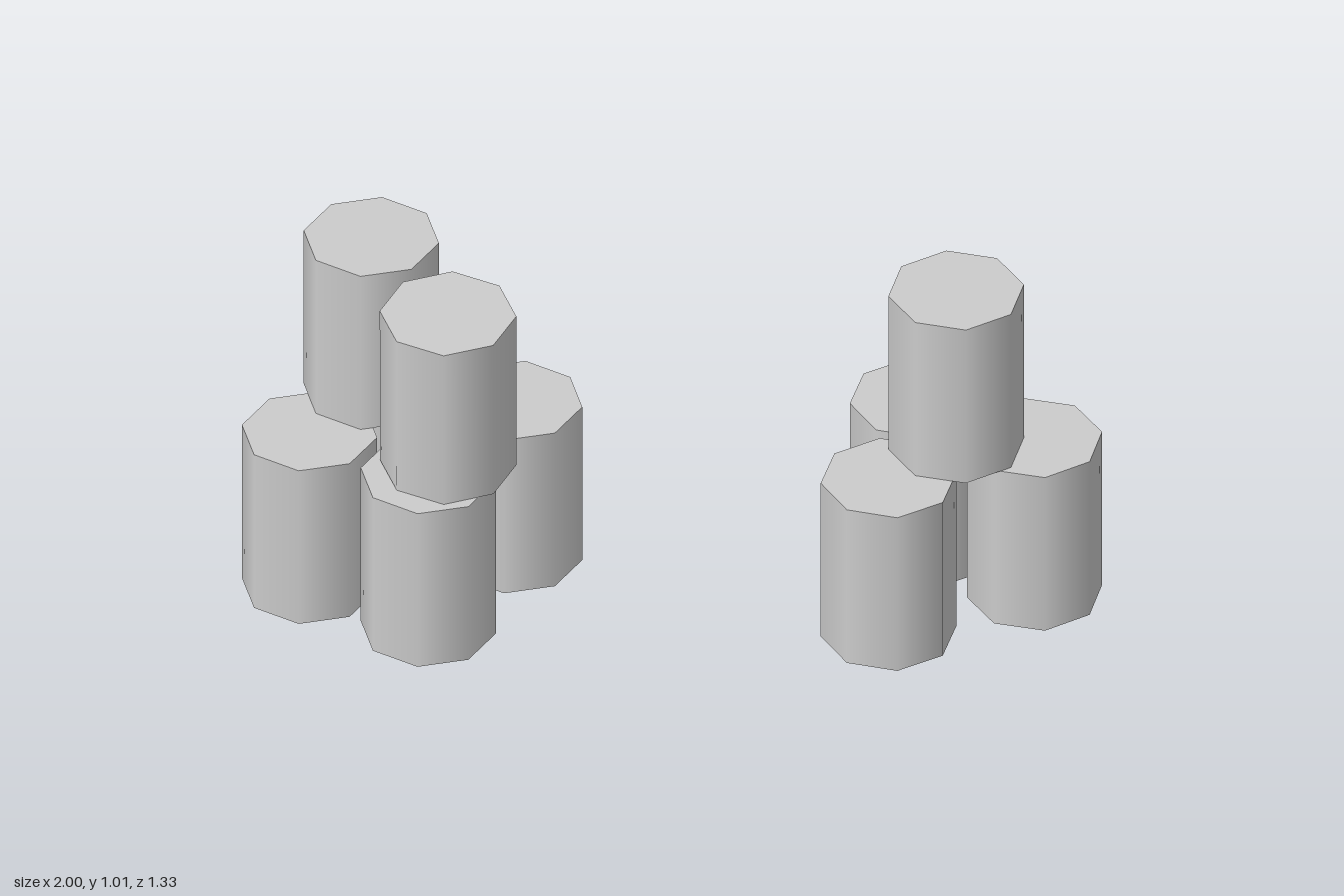
import * as THREE from 'three';

const RADIUS = 0.181;
const HEIGHT = 0.5;
const FLAT = Math.PI / 8; // turns a flat side of the octagon to face the axes

export function createModel() {
  const model = new THREE.Group();
  model.name = 'barrelStacks';
  const material = new THREE.MeshStandardMaterial({ color: 0xcccccc });
  const barrelGeometry = new THREE.CylinderGeometry(RADIUS, RADIUS, HEIGHT, 8);

  function addBarrel(parent, name, x, y, z, turn, tiltX = 0, tiltZ = 0) {
    const barrel = new THREE.Mesh(barrelGeometry, material);
    barrel.name = name;
    barrel.position.set(x, y, z);
    barrel.rotation.set(tiltX, turn, tiltZ, 'XZY'); // turn first, then lean
    parent.add(barrel);
  }

  // Stack of six: four barrels on the ground, two on top
  const largeStack = new THREE.Group();
  largeStack.name = 'largeStack';
  const largeBase = [[-0.797, 0.1], [-0.443, 0.09], [-0.833, 0.492], [-0.464, 0.492]];
  largeBase.forEach(([x, z], i) => addBarrel(largeStack, `lowerBarrel${i + 1}`, x, 0.25, z, FLAT));
  addBarrel(largeStack, 'upperBarrel', -0.79, 0.752, 0.25, FLAT);
  addBarrel(largeStack, 'leaningBarrel', -0.437, 0.757, 0.436, FLAT + 0.094, 0.034, -0.02);

  // Stack of four: three barrels on the ground, one on top
  const smallStack = new THREE.Group();
  smallStack.name = 'smallStack';
  const smallBase = [[0.459, -0.478, -0.105], [0.816, -0.487, -0.08], [0.582, -0.131, -0.105]];
  smallBase.forEach(([x, z, turn], i) => addBarrel(smallStack, `baseBarrel${i + 1}`, x, 0.25, z, turn));
  addBarrel(smallStack, 'topBarrel', 0.654, 0.752, -0.355, -0.09);

  model.add(largeStack, smallStack);
  return model;
}
